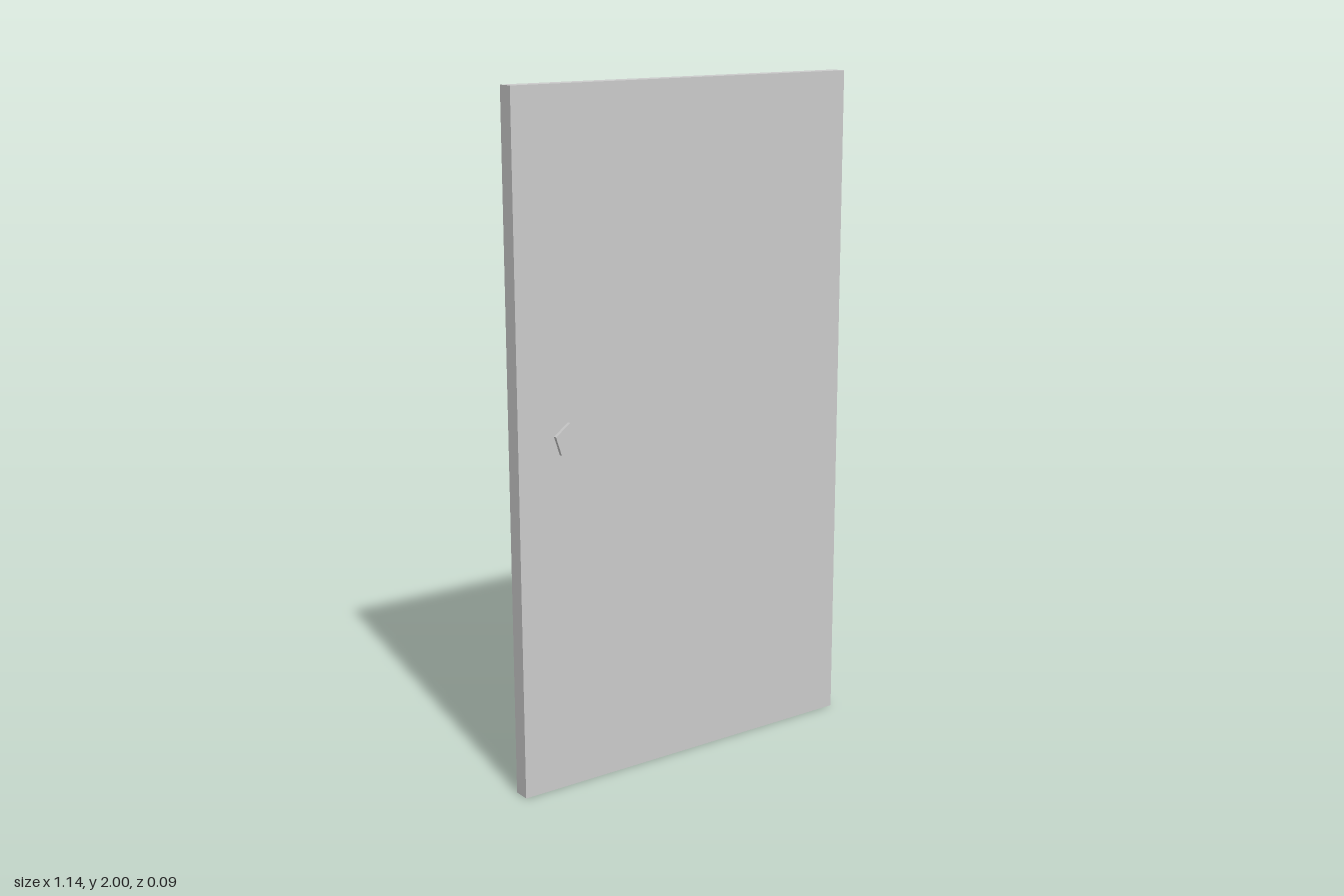
import * as THREE from 'three';

const material = new THREE.MeshStandardMaterial({ color: 0xcccccc, flatShading: true });

// Five-sided disc along z, one corner pointing up
function pentagon(name, radius, depth, z) {
  const geometry = new THREE.CylinderGeometry(radius, radius, depth, 5);
  geometry.rotateX(-Math.PI / 2);
  const mesh = new THREE.Mesh(geometry, material);
  mesh.name = name;
  mesh.position.z = z;
  return mesh;
}

export function createModel() {
  const door = new THREE.Group();
  door.name = 'door';

  // Plain slab
  const panel = new THREE.Mesh(new THREE.BoxGeometry(1.14, 2, 0.05), material);
  panel.name = 'panel';
  panel.position.y = 1;
  door.add(panel);

  // Matching knob on each face: thin stem and wider grip
  for (const [name, side] of [['frontKnob', 1], ['backKnob', -1]]) {
    const knob = new THREE.Group();
    knob.name = name;
    knob.position.set(-0.415, 1.035, 0);
    knob.add(
      pentagon('stem', 0.018, 0.012, side * 0.029),
      pentagon('grip', 0.049, 0.011, side * 0.0405),
    );
    door.add(knob);
  }
  return door;
}
